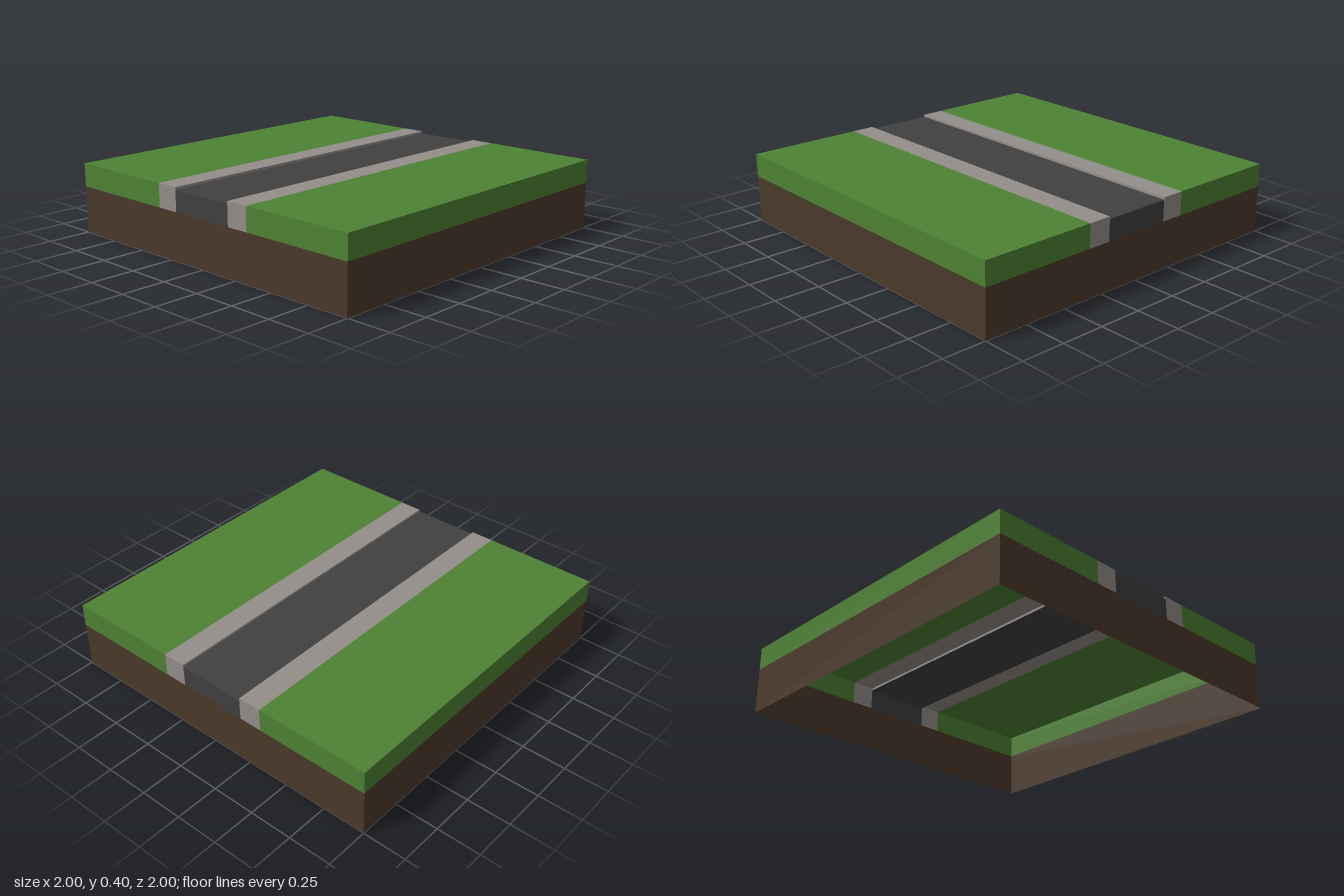
import * as THREE from 'three';

const paint = (name, color) => {
  const m = new THREE.MeshStandardMaterial({ color, side: THREE.DoubleSide });
  m.name = name;
  return m;
};

export function createModel() {
  const group = new THREE.Group();
  group.name = 'roadTile';

  const grass = paint('grass green', 0x4e8234);
  const kerb = paint('kerb grey', 0x948e8a);
  const asphalt = paint('asphalt', 0x404040);
  const soil = paint('soil brown', 0x4b392b);

  const soilTop = 0.267, top = 0.4, roadTop = 0.387;
  const roadHalf = 0.2, kerbEdge = 0.335;

  // A thin rectangular panel, turned to face outward
  const panel = (name, material, w, h, pos, rx = 0, ry = 0) => {
    const mesh = new THREE.Mesh(new THREE.PlaneGeometry(w, h), material);
    mesh.name = name;
    mesh.position.set(...pos);
    mesh.rotation.set(rx, ry, 0);
    group.add(mesh);
  };

  // A strip running the length of the tile, with its two end faces
  const strip = (name, material, x0, x1, y) => {
    const w = x1 - x0, x = (x0 + x1) / 2, h = y - soilTop;
    panel(name + 'Surface', material, w, 2, [x, y, 0], -Math.PI / 2);
    panel(name + 'FrontEnd', material, w, h, [x, soilTop + h / 2, 1]);
    panel(name + 'BackEnd', material, w, h, [x, soilTop + h / 2, -1], 0, Math.PI);
  };

  strip('road', asphalt, -roadHalf, roadHalf, roadTop);
  strip('rightKerb', kerb, -kerbEdge, -roadHalf, top);
  strip('leftKerb', kerb, roadHalf, kerbEdge, top);
  strip('rightGrass', grass, -1, -kerbEdge, top);
  strip('leftGrass', grass, kerbEdge, 1, top);

  for (const s of [-1, 1]) {
    const side = s > 0 ? 'left' : 'right';
    const turn = s * Math.PI / 2;
    // Small kerb step down to the road
    panel(side + 'KerbStep', kerb, 2, top - roadTop, [s * roadHalf, (top + roadTop) / 2, 0], 0, -turn);
    // Outer side walls
    panel(side + 'GrassWall', grass, 2, top - soilTop, [s, (top + soilTop) / 2, 0], 0, turn);
    panel(side + 'SoilWall', soil, 2, soilTop, [s, soilTop / 2, 0], 0, turn);
    // Soil at front and back; the underside stays open
    panel(s > 0 ? 'frontSoilWall' : 'backSoilWall', soil, 2, soilTop, [0, soilTop / 2, s], 0, s > 0 ? 0 : Math.PI);
  }

  return group;
}
